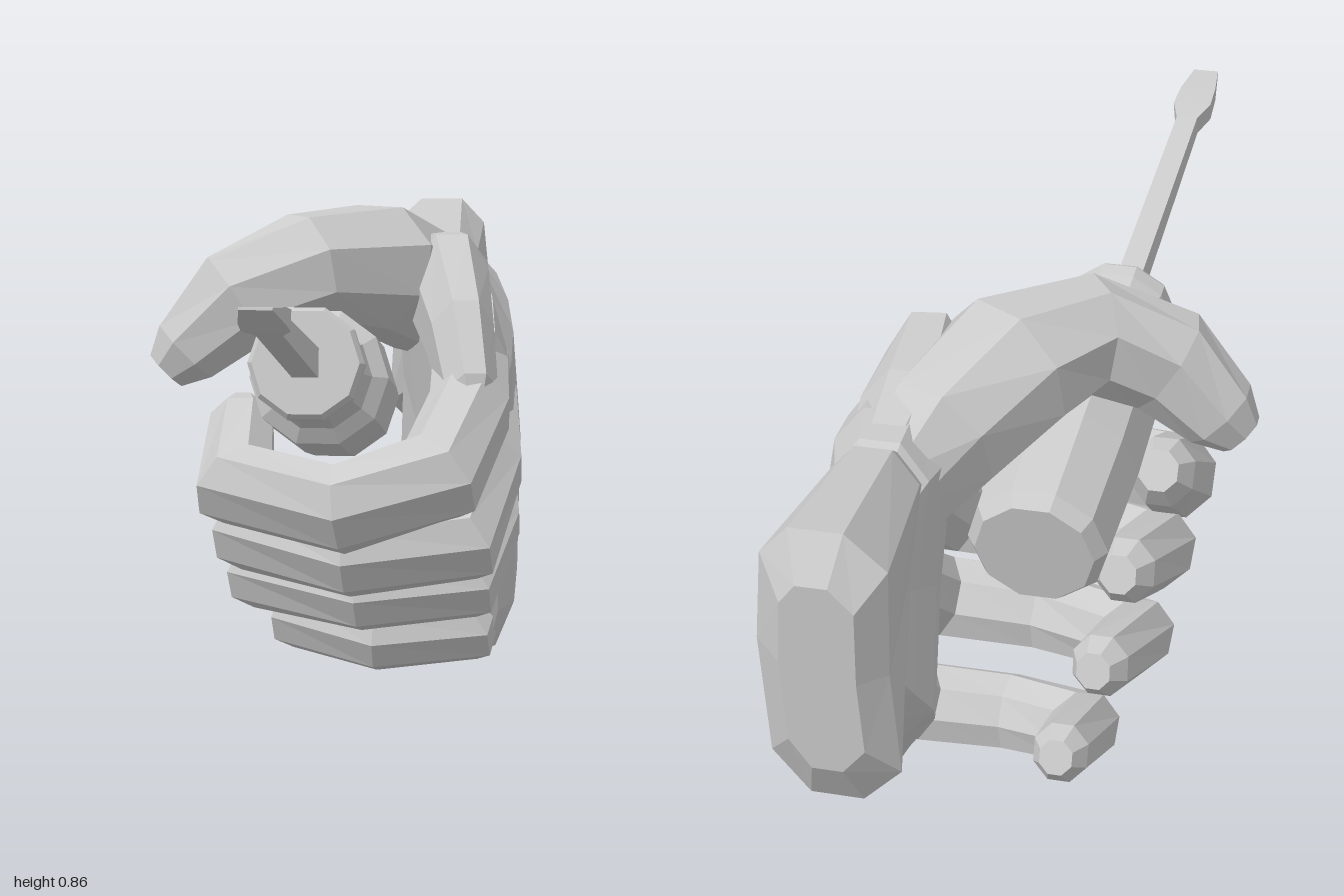
import * as THREE from 'three';

const grey = new THREE.MeshStandardMaterial({ color: 0xcccccc, flatShading: true });
const V = (x, y, z) => new THREE.Vector3(x, y, z);

// Closed skin over a list of rings (equal point counts), capped at both ends
function loft(rings) {
  const n = rings[0].length, pos = [], idx = [];
  rings.forEach(r => r.forEach(p => pos.push(p.x, p.y, p.z)));
  for (let i = 0; i < rings.length - 1; i++)
    for (let j = 0; j < n; j++) {
      const a = i * n + j, b = i * n + (j + 1) % n;
      idx.push(a, b, b + n, a, b + n, a + n);
    }
  const last = (rings.length - 1) * n;
  for (let j = 1; j < n - 1; j++) idx.push(0, j + 1, j, last, last + j, last + j + 1);
  // Turn the faces outward if the signed volume is negative
  let volume = 0;
  const at = i => V(pos[i * 3], pos[i * 3 + 1], pos[i * 3 + 2]);
  for (let k = 0; k < idx.length; k += 3)
    volume += at(idx[k]).dot(at(idx[k + 1]).cross(at(idx[k + 2])));
  if (volume < 0) idx.reverse();
  const g = new THREE.BufferGeometry();
  g.setAttribute('position', new THREE.Float32BufferAttribute(pos, 3));
  g.setIndex(idx);
  const flat = g.toNonIndexed();
  flat.computeVertexNormals();
  return flat;
}

// Eight-sided limb through [x, y, z, radius along hint, radius across], with blunt round tip
function limb(points, hint) {
  const c = points.map(p => V(p[0], p[1], p[2]));
  const end = points.length - 1;
  const rings = [];
  const ring = (centre, t, ra, rb) => {
    const u = hint.clone().addScaledVector(t, -hint.dot(t)).normalize();
    const w = t.clone().cross(u);
    rings.push(Array.from({ length: 8 }, (_, k) => {
      const a = (k + 0.5) * Math.PI / 4;
      return centre.clone().addScaledVector(u, ra * Math.cos(a)).addScaledVector(w, rb * Math.sin(a));
    }));
  };
  points.forEach((p, i) => {
    const before = c[i].clone().sub(c[Math.max(i - 1, 0)]).normalize();
    const after = c[Math.min(i + 1, end)].clone().sub(c[i]).normalize();
    const t = before.add(after).normalize();
    ring(c[i], t, p[3], p[4]);
    if (i === end) ring(c[i].clone().addScaledVector(t, p[4] * 0.75), t, p[3] * 0.6, p[4] * 0.6);
  });
  return loft(rings);
}

// Slab sections: [top z, top y, bottom z, bottom y, min x, max x]
const OUTLINE = [[0, 0.3], [0, 0.7], [0.1, 0.92], [0.42, 1], [0.85, 0.97], [1, 0.7], [1, 0.3], [0.87, 0], [0.5, 0.04], [0.12, 0]];
function slab(sections) {
  return loft(sections.map(([tz, ty, bz, by, x0, x1]) =>
    OUTLINE.map(([t, f]) => V(x0 + (x1 - x0) * f, ty + (by - ty) * t, tz + (bz - tz) * t))));
}

function part(parent, name, geometry) {
  const m = new THREE.Mesh(geometry, grey);
  m.name = name;
  parent.add(m);
}

export function createModel() {
  const model = new THREE.Group();
  model.name = 'handWithScrewdriver';

  // Screwdriver, built along +y and then tipped forward
  const tool = new THREE.Group();
  tool.name = 'screwdriver';
  tool.position.set(-0.027, 0.635, 0.258);
  tool.rotation.x = 1.352;
  model.add(tool);
  const profile = [[0, -0.67], [0.1, -0.67], [0.118, -0.645], [0.125, -0.45], [0.122, -0.26], [0.095, -0.24],
    [0.07, -0.14], [0.064, -0.1], [0.098, -0.04], [0.098, -0.012], [0.09, 0], [0, 0]];
  part(tool, 'handle', new THREE.LatheGeometry(profile.map(p => new THREE.Vector2(...p)), 10, Math.PI / 10));
  const blade = [[-0.02, 0.022, 0.025], [0.57, 0.02, 0.017], [0.62, 0.036, 0.016], [0.68, 0.034, 0.012], [0.76, 0.024, 0.002]];
  part(tool, 'blade', loft(blade.map(([s, w, d]) => [V(-w, s, -d), V(w, s, -d), V(w, s, d), V(-w, s, d)])));

  // Hand
  const hand = new THREE.Group();
  hand.name = 'hand';
  model.add(hand);
  part(hand, 'wrist', slab([
    [-1.0, 0.76, -0.97, 0.43, 0.08, 0.2],
    [-0.96, 0.83, -0.92, 0.35, 0.04, 0.247],
    [-0.63, 0.785, -0.77, 0.41, 0.085, 0.24],
    [-0.56, 0.74, -0.72, 0.44, 0.10, 0.23]]));
  part(hand, 'palm', slab([
    [-0.65, 0.74, -0.78, 0.43, 0.10, 0.225],
    [-0.58, 0.77, -0.73, 0.35, 0.085, 0.25],
    [-0.48, 0.77, -0.65, 0.255, 0.08, 0.285],
    [-0.33, 0.74, -0.55, 0.155, 0.11, 0.31],
    [-0.20, 0.70, -0.44, 0.075, 0.15, 0.32],
    [-0.11, 0.65, -0.36, 0.025, 0.185, 0.315],
    [-0.03, 0.56, -0.27, 0.04, 0.22, 0.285]]));
  part(hand, 'thumbWeb', limb([
    [0.17, 0.69, -0.58, 0.07, 0.06], [0.17, 0.71, -0.4, 0.1, 0.09],
    [0.19, 0.705, -0.24, 0.12, 0.075], [0.215, 0.635, -0.11, 0.1, 0.06], [0.235, 0.54, -0.02, 0.08, 0.05]], V(0, 1, 0)));
  part(hand, 'thumb', limb([
    [0.16, 0.64, -0.58, 0.1, 0.06], [0.13, 0.69, -0.42, 0.12, 0.11], [0.05, 0.75, -0.25, 0.12, 0.135],
    [-0.06, 0.76, -0.125, 0.1, 0.105], [-0.18, 0.705, -0.085, 0.095, 0.085],
    [-0.27, 0.615, -0.08, 0.07, 0.068]], V(0, 1, 0)));

  // Fingers from knuckle to tip, wrapped around the handle side
  const fingers = {
    indexFinger: [1.08, [0.23, 0.61, -0.22], [0.235, 0.52, -0.03], [0.19, 0.425, 0.115], [0.02, 0.37, 0.145], [-0.165, 0.4, 0.075], [-0.17, 0.485, -0.07]],
    middleFinger: [1.02, [0.25, 0.52, -0.27], [0.26, 0.41, -0.1], [0.225, 0.3, 0.035], [0.03, 0.275, 0.065], [-0.15, 0.3, -0.02], [-0.135, 0.36, -0.2]],
    ringFinger: [0.95, [0.25, 0.39, -0.33], [0.26, 0.29, -0.22], [0.225, 0.2, -0.1], [0.04, 0.18, -0.075], [-0.145, 0.2, -0.15], [-0.125, 0.255, -0.34]],
    littleFinger: [0.9, [0.245, 0.25, -0.43], [0.24, 0.16, -0.35], [0.22, 0.08, -0.26], [0.06, 0.066, -0.235], [-0.085, 0.09, -0.29], [-0.085, 0.15, -0.455]],
  };
  const widths = [[0.075, 0.065], [0.08, 0.07], [0.08, 0.08], [0.077, 0.067], [0.073, 0.075], [0.058, 0.055]];
  for (const [name, [scale, ...joints]] of Object.entries(fingers))
    part(hand, name, limb(joints.map((p, i) => [...p, ...widths[i].map(w => w * scale)]), V(0, 0.86, 0.51)));

  return model;
}
